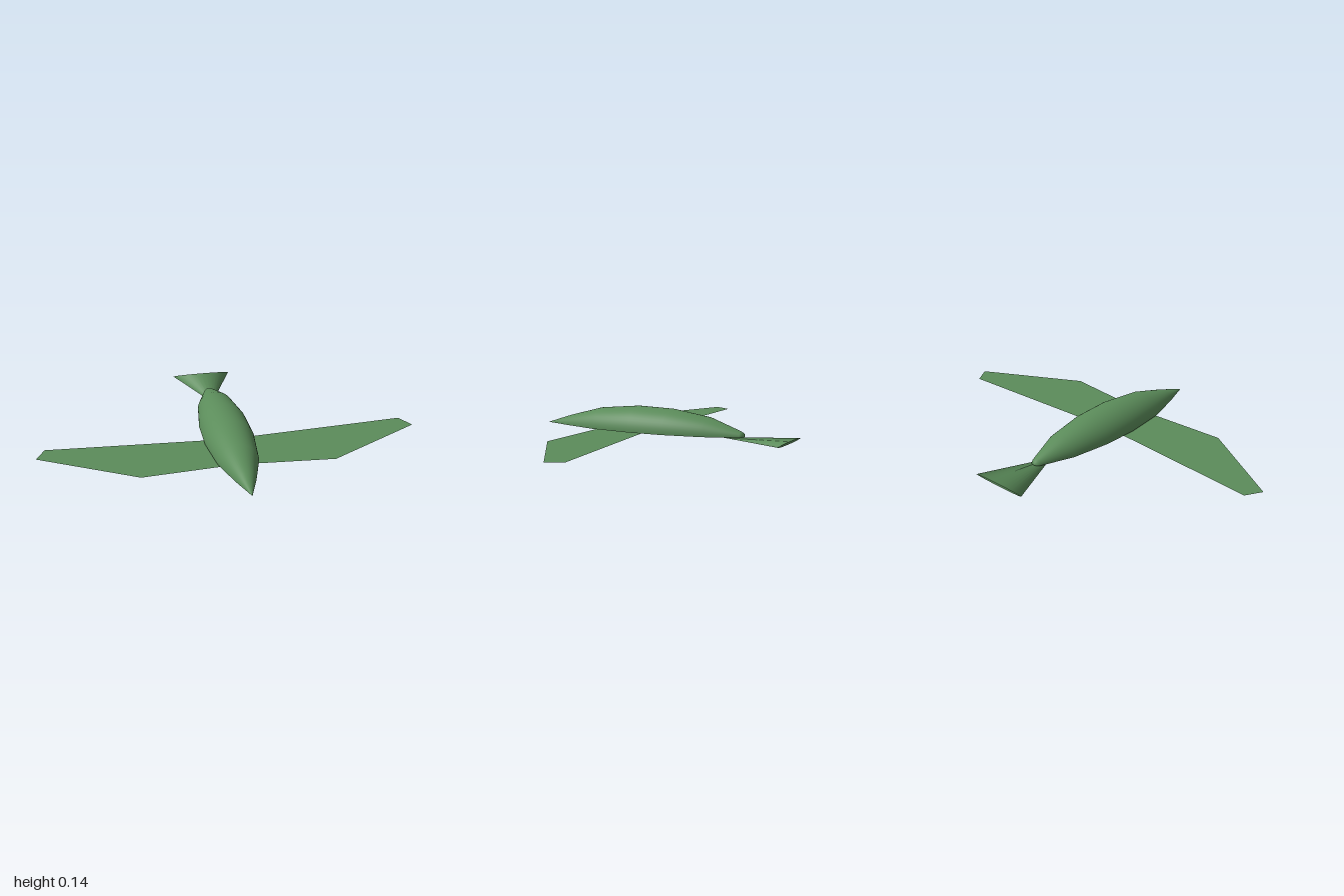
import * as THREE from 'three';

export function createModel() {
  const group = new THREE.Group();
  const green = new THREE.MeshStandardMaterial({ color: 0x5b8c5a, side: THREE.DoubleSide });
  green.name = 'leafGreen';

  const add = (name, geometry, y) => {
    const mesh = new THREE.Mesh(geometry, green);
    mesh.name = name;
    mesh.position.y = y;
    group.add(mesh);
    return mesh;
  };
  // flat outline given as [x, z] pairs, laid level
  const plate = (pairs) => {
    const shape = new THREE.Shape(pairs.map(([x, z]) => new THREE.Vector2(x, z)));
    return new THREE.ShapeGeometry(shape).rotateX(Math.PI / 2);
  };

  // body: half of a turned spindle, [radius, z] from rump to beak
  const profile = [
    [0, -0.465], [0.02, -0.46], [0.03, -0.445], [0.095, -0.265], [0.127, -0.05],
    [0.131, 0.15], [0.107, 0.37], [0.053, 0.555], [0, 0.705],
  ];
  const points = profile.map(([r, z]) => new THREE.Vector2(r, z));
  const body = new THREE.LatheGeometry(points, 24, Math.PI / 2, Math.PI);
  body.rotateX(Math.PI / 2).scale(1, 0.95, 1);
  add('body', body, 0.016);

  // flat belly closing the half spindle
  const mirrored = profile.slice(1, -1).reverse().map(([r, z]) => [-r, z]);
  add('belly', plate([...profile, ...mirrored]), 0.016);

  // swept wings, thin sheets meeting under the body
  for (const [name, s] of [['leftWing', 1], ['rightWing', -1]]) {
    const outline = [[0, 0.097], [0.95, 0.035], [1, 0.125], [0.5, 0.41], [0, 0.372]];
    if (s < 0) outline.reverse();
    add(name, plate(outline.map(([x, z]) => [x * s, z])), 0.006);
  }

  // tail: a cone pressed nearly flat, keeping its rounded normals
  const tail = new THREE.ConeGeometry(0.16, 0.37, 32).rotateX(Math.PI / 2);
  const pos = tail.attributes.position;
  for (let i = 0; i < pos.count; i++) pos.setY(i, pos.getY(i) * 0.0375);
  add('tail', tail, 0.006).position.z = -0.525;

  return group;
}
